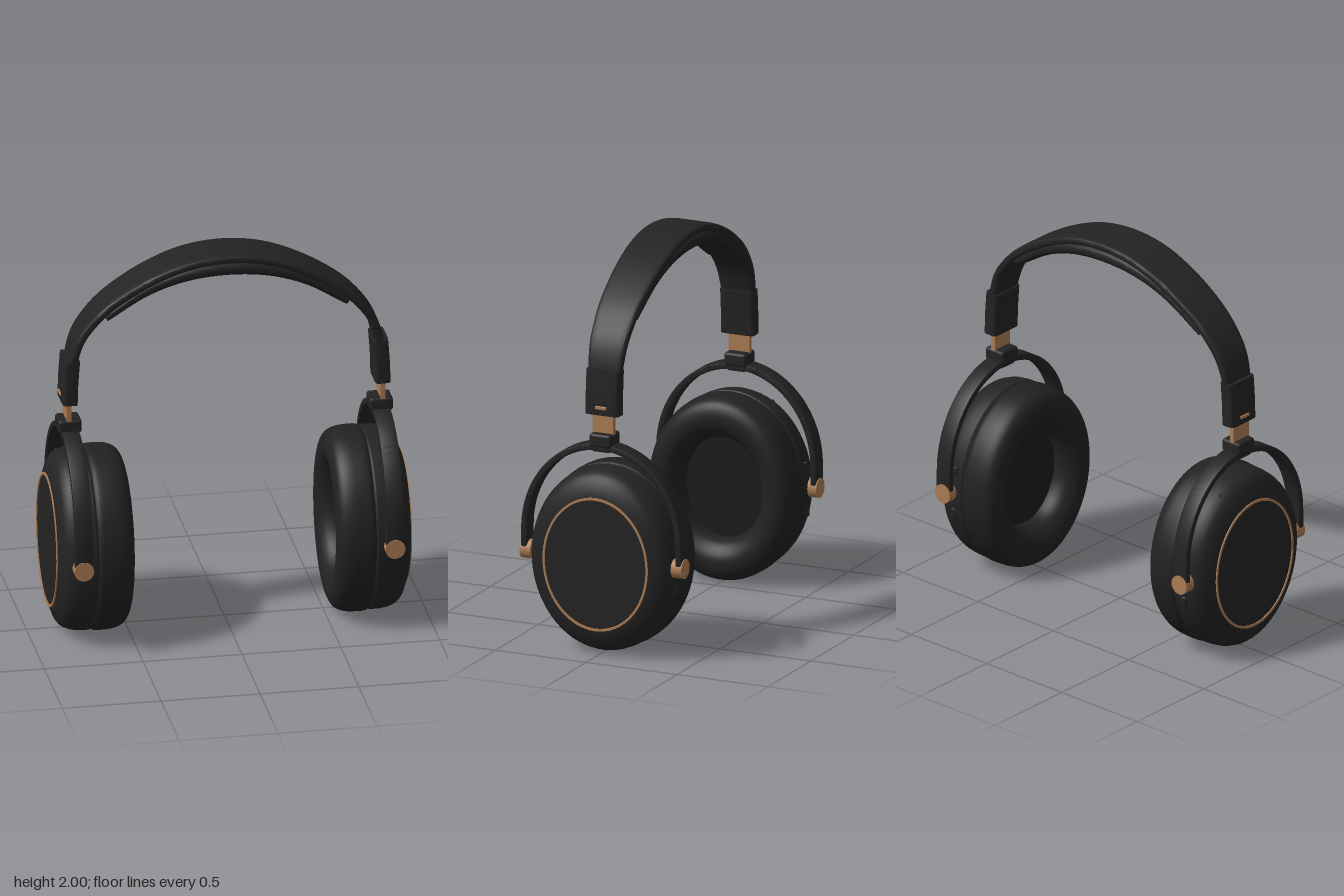
import * as THREE from 'three';
import { toCreasedNormals } from 'three/addons/utils/BufferGeometryUtils.js';
import { RoundedBoxGeometry } from 'three/addons/geometries/RoundedBoxGeometry.js';

const mat = (name, color) => Object.assign(new THREE.MeshStandardMaterial({ color }), { name });

const CUP_Y = 0.481;   // height of the ear cup centre
const OVAL = 0.837;    // cup depth relative to its height
const ARM_X = 0.787;   // centre of yoke and pivots

// Profile [radius, x] turned about the x axis and squashed to an oval
function oval(profile, crease = 0.5) {
  const g = new THREE.LatheGeometry(profile.map(([r, x]) => new THREE.Vector2(r, x)), 72);
  g.rotateZ(-Math.PI / 2);
  g.scale(1, 1, OVAL);
  g.translate(0, CUP_Y, 0);
  return toCreasedNormals(g, crease);
}

// Rounded-rectangle section swept along a path in the xy plane
function sweep(points, steps, halfThick, halfWide, power) {
  const curve = new THREE.CatmullRomCurve3(points.map(([x, y]) => new THREE.Vector3(x, y, 0)));
  const ring = 32, pos = [], idx = [];
  const soft = (v) => Math.sign(v) * Math.abs(v) ** (2 / power);
  for (let i = 0; i <= steps; i++) {
    const u = i / steps, p = curve.getPointAt(u), t = curve.getTangentAt(u);
    for (let j = 0; j < ring; j++) {
      const a = (j / ring) * Math.PI * 2;
      const n = soft(Math.sin(a)) * halfThick(u);
      pos.push(p.x - t.y * n, p.y + t.x * n, soft(Math.cos(a)) * halfWide(u));
    }
  }
  for (let i = 0; i < steps; i++) {
    for (let j = 0; j < ring; j++) {
      const a = i * ring + j, b = i * ring + (j + 1) % ring;
      idx.push(a, a + ring, b, b, a + ring, b + ring);
    }
  }
  // end caps
  const last = steps * ring;
  for (let j = 1; j < ring - 1; j++) {
    idx.push(0, j, j + 1, last, last + j + 1, last + j);
  }
  const g = new THREE.BufferGeometry();
  g.setAttribute('position', new THREE.Float32BufferAttribute(pos, 3));
  g.setIndex(idx);
  return toCreasedNormals(g, 0.7);
}

// Left half of a symmetric path mirrored to the right
const mirrorPath = (half) => [...half, ...half.slice(0, -1).reverse().map(([x, y]) => [-x, y])];

// Arch that carries the cup, drawn in the side plane and extruded across
function yokeGeometry() {
  const s = new THREE.Shape();
  s.moveTo(0.44, 0.49);
  s.lineTo(0.44, 0.6);
  s.absellipse(0, 0.6, 0.44, 0.488, 0, Math.PI, false);
  s.lineTo(-0.44, 0.49);
  s.lineTo(-0.408, 0.49);
  s.lineTo(-0.408, 0.6);
  s.absellipse(0, 0.6, 0.408, 0.455, Math.PI, 0, true);
  s.lineTo(0.408, 0.49);
  const g = new THREE.ExtrudeGeometry(s, {
    depth: 0.078, curveSegments: 40, bevelSize: 0.006, bevelOffset: -0.006, bevelThickness: 0.006, bevelSegments: 2,
  });
  g.translate(0, 0, -0.039);
  g.rotateY(Math.PI / 2);
  g.translate(ARM_X, 0, 0);
  return toCreasedNormals(g, 0.6);
}

export function createModel() {
  const black = mat('matte black', 0x232323);
  const leather = mat('black leather', 0x212121);
  const dark = mat('dark fabric', 0x1c1c1c);
  const bronze = mat('bronze', 0xab7c55);

  const model = new THREE.Group();
  model.name = 'headphones';
  const add = (parent, name, geometry, material, x = 0, y = 0, z = 0) => {
    const m = new THREE.Mesh(geometry, material);
    m.name = name;
    m.position.set(x, y, z);
    parent.add(m);
    return m;
  };

  // Headband and the cushion beneath it
  const band = mirrorPath([[-0.778, 1.38], [-0.772, 1.47], [-0.738, 1.58], [-0.672, 1.675],
    [-0.585, 1.759], [-0.4, 1.875], [-0.2, 1.953], [0, 1.977]]);
  const bulge = (u) => Math.sin(Math.PI * u);
  add(model, 'headband', sweep(band, 80, () => 0.023, (u) => 0.082 + 0.045 * bulge(u) ** 0.8, 5), black);
  const cushion = mirrorPath([[-0.612, 1.696], [-0.41, 1.827], [-0.22, 1.896], [0, 1.92]]);
  add(model, 'headbandCushion',
    sweep(cushion, 60, (u) => 0.025 + 0.016 * bulge(u), (u) => 0.1 + 0.018 * bulge(u), 3), leather);

  // Each side is built at +x; the right one is turned half round
  for (const [label, s] of [['left', 1], ['right', -1]]) {
    const side = new THREE.Group();
    side.name = label + 'Side';
    if (s < 0) side.rotation.y = Math.PI;
    model.add(side);

    // Sleeve, slider and collar
    add(side, 'bandSleeve', sweep([[0.791, 1.235], [0.788, 1.34], [0.779, 1.465]], 10,
      () => 0.039, () => 0.091, 7), black);
    add(side, 'sleeveAccent', new RoundedBoxGeometry(0.012, 0.018, 0.062, 2, 0.004), bronze, 0.83, 1.275, 0);
    add(side, 'slider', new THREE.BoxGeometry(0.024, 0.2, 0.114), bronze, 0.794, 1.2, 0);
    add(side, 'collar', new RoundedBoxGeometry(0.118, 0.07, 0.12, 3, 0.015), black, ARM_X, 1.106, 0);
    add(side, 'yokeNeck', new RoundedBoxGeometry(0.09, 0.05, 0.1, 2, 0.01), black, ARM_X, 1.07, 0);
    add(side, 'yoke', yokeGeometry(), black);

    // Pivot knobs, front and back
    for (const z of [-1, 1]) {
      const knob = new THREE.CylinderGeometry(0.05, 0.05, 0.058, 24);
      knob.rotateX(Math.PI / 2);
      add(side, 'pivotKnob', knob, bronze, ARM_X, 0.485, z * 0.416);
    }

    // Ear cup
    add(side, 'cupHousing', oval([[0.45, 0.7], [0.466, 0.703], [0.474, 0.712], [0.473, 0.76], [0.467, 0.8],
      [0.455, 0.83], [0.44, 0.85], [0.42, 0.865], [0.347, 0.893], [0.33, 0.893]]), black);
    add(side, 'cupRing', oval([[0.345, 0.885], [0.345, 0.899], [0.332, 0.899], [0.332, 0.885]]), bronze);
    add(side, 'cupPlate', oval([[0.333, 0.894], [0, 0.894]]), black);

    // Ear pad and speaker cover
    const roll = new THREE.SplineCurve([[0.262, 0.645], [0.264, 0.6], [0.285, 0.555], [0.33, 0.52], [0.375, 0.51],
      [0.42, 0.518], [0.455, 0.542], [0.474, 0.585], [0.479, 0.64], [0.477, 0.685], [0.462, 0.704]]
      .map(([r, x]) => new THREE.Vector2(r, x)));
    add(side, 'earPad', oval(roll.getPoints(40).map((p) => [p.x, p.y]), 0.8), leather);
    add(side, 'speakerCover', oval([[0, 0.632], [0.275, 0.632]]), dark);

    // Controls on the back edge of the housing
    add(side, 'button', new RoundedBoxGeometry(0.035, 0.06, 0.03, 3, 0.012), black, 0.765, 0.365, -s * 0.378);
    add(side, 'switch', new RoundedBoxGeometry(0.025, 0.05, 0.02, 3, 0.008), black, 0.75, 0.6, -s * 0.382);
    const dot = new THREE.SphereGeometry(0.007, 10, 8);
    add(side, 'microphoneHole', dot, dark, 0.82, 0.893, -s * 0.17);
  }
  return model;
}
